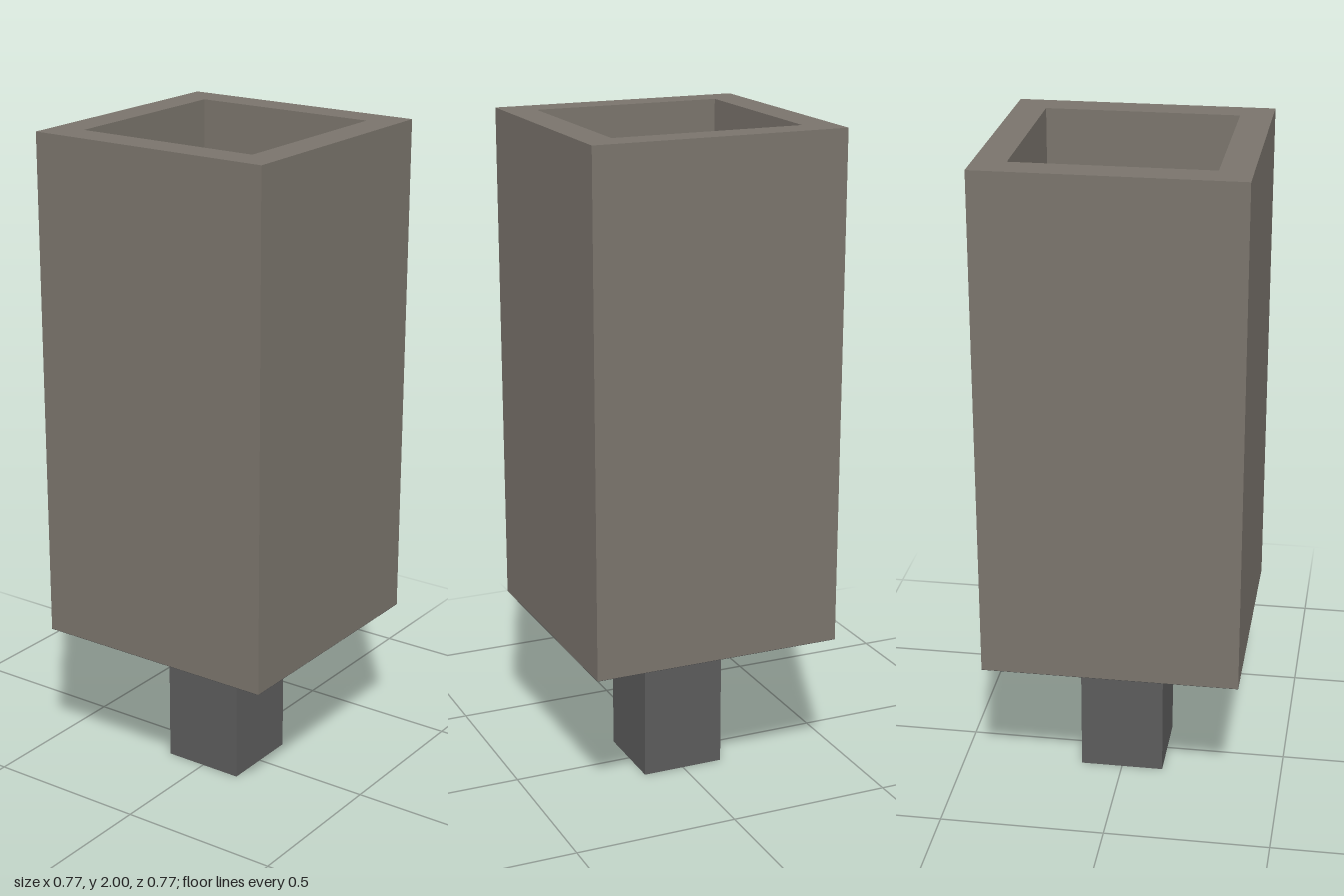
import * as THREE from 'three';

const BOTTOM = 0.464; // height where the planter meets its stem
const OUTER = 0.768, INNER = 0.577, STEM = 0.256;

// Corners of a centred square, for an outline or a hole
function square(size) {
  const h = size / 2;
  return [[-h, -h], [h, -h], [h, h], [-h, h]].map(([x, y]) => new THREE.Vector2(x, y));
}

function addPart(group, name, geometry, color, y, side = THREE.FrontSide) {
  const material = new THREE.MeshStandardMaterial({ color, side, flatShading: true });
  const mesh = new THREE.Mesh(geometry, material);
  mesh.name = name;
  mesh.position.y = y;
  group.add(mesh);
}

export function createModel() {
  const group = new THREE.Group();
  group.name = 'squarePlanter';

  // Thick square walls, open at the top
  const outline = new THREE.Shape(square(OUTER));
  outline.holes.push(new THREE.Path(square(INNER)));
  const lift = 0.001; // keeps the walls just clear of the base plate
  const walls = new THREE.ExtrudeGeometry(outline, { depth: 2 - BOTTOM - lift, bevelEnabled: false });
  walls.rotateX(-Math.PI / 2);
  addPart(group, 'walls', walls, 0x7a746c, BOTTOM + lift);

  // Dark base plate, seen from inside and from below
  const base = new THREE.PlaneGeometry(OUTER, OUTER).rotateX(-Math.PI / 2);
  addPart(group, 'basePlate', base, 0x3b3b3b, BOTTOM, THREE.DoubleSide);

  // Thin square stem, hollow and open underneath
  const stem = new THREE.CylinderGeometry(STEM / Math.SQRT2, STEM / Math.SQRT2, BOTTOM, 4, 1, true);
  stem.rotateY(Math.PI / 4);
  addPart(group, 'stem', stem, 0x5c5c5c, BOTTOM / 2, THREE.DoubleSide);

  return group;
}
